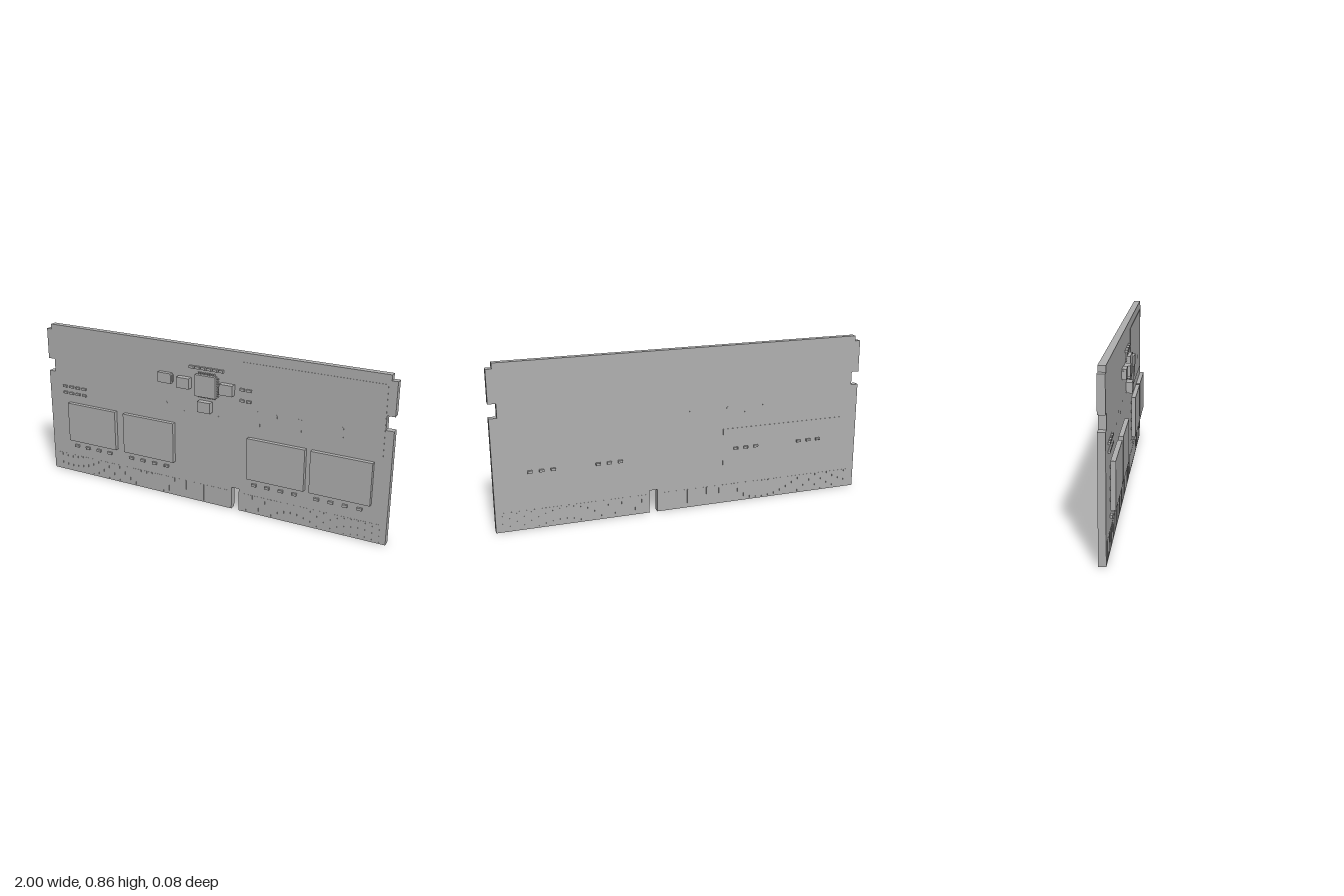
import * as THREE from 'three';
import { mergeGeometries } from 'three/addons/utils/BufferGeometryUtils.js';

const grey = new THREE.MeshStandardMaterial({ color: 0xb0b0b0 });
grey.name = 'grey';

const FRONT = 0.009, BACK = -0.026; // z of the two board faces

export function createModel() {
  const model = new THREE.Group();
  model.name = 'memoryModule';

  const add = (name, geometry, parent = model) => {
    const mesh = new THREE.Mesh(geometry, grey);
    mesh.name = name;
    parent.add(mesh);
    return mesh;
  };
  // box given by centre x, y, size w, h and its z range
  const box = (x, y, w, h, z0, z1) =>
    new THREE.BoxGeometry(w, h, z1 - z0).translate(x, y, (z0 + z1) / 2);

  // circuit board with key slot, latch notches and stepped top corners
  const outline = [
    [-1, 0], [0.16, 0], [0.16, 0.123], [0.203, 0.123], [0.203, 0], [1, 0],
    [1, 0.592], [0.96, 0.592], [0.96, 0.664], [1, 0.664], [1, 0.835], [0.97, 0.835], [0.97, 0.863],
    [-0.97, 0.863], [-0.97, 0.835], [-1, 0.835], [-1, 0.664], [-0.96, 0.664], [-0.96, 0.592], [-1, 0.592],
  ].map(([x, y]) => new THREE.Vector2(x, y));
  add('board', new THREE.ExtrudeGeometry(new THREE.Shape(outline), { depth: FRONT - BACK, bevelEnabled: false })
    .translate(0, 0, BACK));

  // edge contacts on both faces, skipping the key slot
  const contacts = [];
  for (let x = -0.954; x < 0.96; x += 0.036) {
    if (x > 0.14 && x < 0.222) continue;
    contacts.push(box(x, 0.055, 0.024, 0.095, FRONT, FRONT + 0.001));
    contacts.push(box(x, 0.055, 0.024, 0.095, BACK - 0.001, BACK));
  }
  add('edgeContacts', mergeGeometries(contacts));

  // labels
  add('frontLabel', box(0.587, 0.637, 0.74, 0.356, FRONT, FRONT + 0.002));
  add('backLabel', box(-0.552, 0.315, 0.69, 0.2, BACK - 0.002, BACK));
  add('labelBars', mergeGeometries([0.306, 0.4, 0.53, 0.746].map((x) =>
    box(x, 0.53, 0.02, 0.08, FRONT + 0.002, FRONT + 0.003))));

  // small part: body between two slightly larger end caps; dir is 1 in front, -1 behind
  const smallPart = (x, y, w, h, depth, dir = 1) => {
    const face = dir > 0 ? FRONT : BACK;
    const slab = (cx, sw, sh, d) =>
      box(cx, y, sw, sh, Math.min(face, face + dir * d), Math.max(face, face + dir * d));
    const end = w * 0.25;
    return mergeGeometries([
      slab(x, w - 2 * end, h * 0.94, depth * 0.95),
      slab(x - (w - end) / 2, end, h, depth),
      slab(x + (w - end) / 2, end, h, depth),
    ]);
  };
  const row = (name, xs, y, w, h, depth, dir) =>
    add(name, mergeGeometries(xs.map((x) => smallPart(x, y, w, h, depth, dir))));

  // memory chips on solder balls, with capacitors below and behind
  [-0.706, -0.336, 0.415, 0.76].forEach((cx) => {
    const chip = new THREE.Group();
    chip.name = 'memoryChip';
    model.add(chip);
    add('chipBody', box(cx, 0.314, 0.316, 0.224, 0.014, 0.037), chip);
    const balls = [];
    for (let i = 0; i < 6; i++) for (let j = 0; j < 4; j++) {
      balls.push(new THREE.CylinderGeometry(0.008, 0.008, 0.005, 8).rotateX(Math.PI / 2)
        .translate(cx - 0.125 + i * 0.05, 0.239 + j * 0.05, 0.0115));
    }
    add('solderBalls', mergeGeometries(balls), chip);
    row('chipCapacitors', [0, 1, 2, 3].map((k) => cx - 0.124 + k * 0.075), 0.165, 0.026, 0.014, 0.012);
    row('backCapacitors', [-1, 0, 1].map((k) => cx + k * 0.058), 0.304, 0.024, 0.013, 0.013, -1);
  });

  // power controller with pins on four sides
  const cx = 0.013, cy = 0.66;
  add('controller', box(cx, cy, 0.118, 0.115, FRONT, 0.033));
  const pins = [];
  for (let i = 0; i < 8; i++) {
    const t = -0.046 + i * 0.0131;
    for (const s of [-1, 1]) {
      pins.push(box(cx + s * 0.0635, cy + t, 0.011, 0.006, FRONT, 0.016));
      pins.push(box(cx + t, cy + s * 0.0625, 0.006, 0.011, FRONT, 0.016));
    }
  }
  add('controllerPins', mergeGeometries(pins));

  // inductors and the large capacitor around the controller
  [[-0.115, 0.662], [0.135, 0.662], [0.008, 0.549]].forEach(([x, y]) =>
    add('inductor', box(x, y, 0.074, 0.057, FRONT, 0.041)));
  add('largeCapacitor', box(-0.23, 0.671, 0.078, 0.054, FRONT, 0.032));
  add('largeCapacitorTabs', box(-0.23, 0.671, 0.088, 0.036, FRONT, 0.02));

  // rows of small capacitors and resistors
  row('topCapacitors', [-0.073, -0.039, -0.005, 0.029, 0.064, 0.098], 0.75, 0.025, 0.014, 0.014);
  [0.672, 0.614].forEach((y) => row('sideCapacitors', [0.217, 0.255], y, 0.025, 0.013, 0.012));
  [0.516, 0.479].forEach((y) => row('resistors', [-0.893, -0.85, -0.807, -0.764], y, 0.026, 0.012, 0.01));

  // plated holes across the middle, seen on both faces
  const vias = [];
  for (let i = 0; i < 10; i++) {
    vias.push(new THREE.CylinderGeometry(0.006, 0.006, FRONT - BACK + 0.002, 10).rotateX(Math.PI / 2)
      .translate(-0.54 + i * 0.103, 0.5 + (i % 2) * 0.03, (FRONT + BACK) / 2));
  }
  add('vias', mergeGeometries(vias));

  return model;
}
